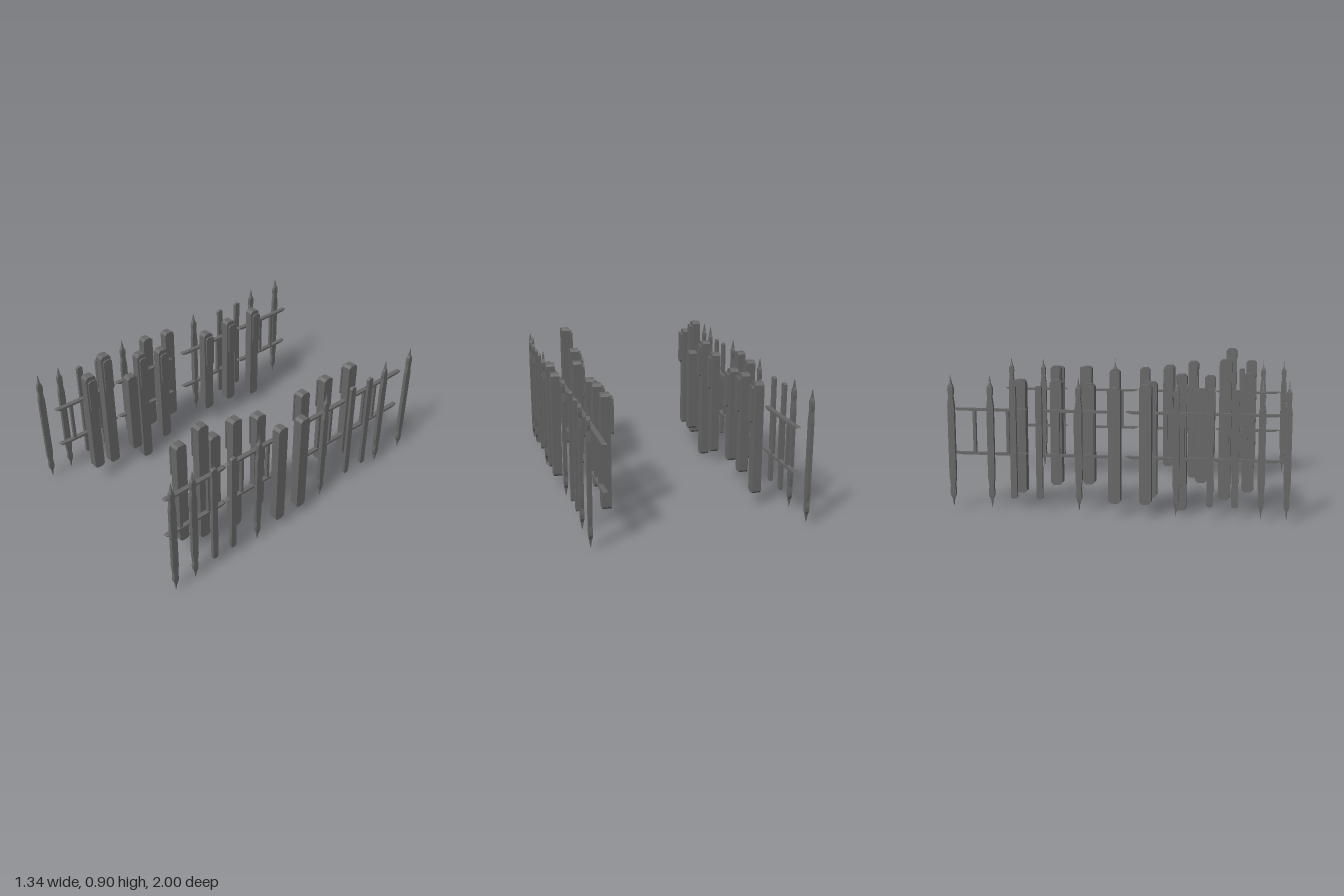
import * as THREE from 'three';

const iron = new THREE.MeshStandardMaterial({ color: 0x666666 });
iron.name = 'dark grey';

// Outline in (z, y) extruded across x, centred on x
function slab(points, width) {
  const shape = new THREE.Shape(points.map(([z, y]) => new THREE.Vector2(-z, y)));
  const geo = new THREE.ExtrudeGeometry(shape, { depth: width, bevelEnabled: false });
  geo.translate(0, 0, -width / 2);
  geo.rotateY(Math.PI / 2);
  return geo;
}

// Upright board with chamfered corners
function board(halfZ, y0, y1, width, c) {
  return slab([
    [-halfZ, y0 + c], [-halfZ + c, y0], [halfZ - c, y0], [halfZ, y0 + c],
    [halfZ, y1 - c], [halfZ - c, y1], [-halfZ + c, y1], [-halfZ, y1 - c],
  ], width);
}

// Picket with a needle point at both ends; rows are [y, half x, half z]
function spear() {
  const end = [
    [0.015, 0.001, 0.001], [0.065, 0.009, 0.005], [0.085, 0.011, 0.015],
    [0.11, 0.011, 0.017], [0.145, 0.011, 0.013], [0.2, 0.011, 0.02],
  ];
  const rows = [...end, ...end.map(([y, x, z]) => [0.82 - y, x, z]).reverse()];
  const pos = [], idx = [];
  for (const [y, x, z] of rows) pos.push(-x, y, z, x, y, z, x, y, -z, -x, y, -z);
  for (let r = 0; r < rows.length - 1; r++) {
    for (let i = 0; i < 4; i++) {
      const a = r * 4 + i, b = r * 4 + (i + 1) % 4;
      idx.push(a, b, b + 4, a, b + 4, a + 4);
    }
  }
  const geo = new THREE.BufferGeometry();
  geo.setAttribute('position', new THREE.Float32BufferAttribute(pos, 3));
  geo.setIndex(idx);
  const flat = geo.toNonIndexed();
  flat.computeVertexNormals();
  return flat;
}

// Rail along z with tapered, slightly lifted ends
function rail(z0, z1) {
  const t = 0.035;
  return slab([
    [z0, 0.005], [z0 + t, -0.008], [z1 - t, -0.008], [z1, 0.005],
    [z1 - t / 2, 0.009], [z1 - t, 0.007], [z0 + t, 0.007], [z0 + t / 2, 0.009],
  ], 0.028);
}

function createSide(s) {
  const side = new THREE.Group();
  const add = (name, geo, x, y, z) => {
    const m = new THREE.Mesh(geo, iron);
    m.name = name;
    m.position.set(s * x, y, z);
    side.add(m);
  };

  // Thick posts: x, z, bottom, top, has inner plate
  const posts = [
    [0.442, 0.755, 0.12, 0.82, 1], [0.468, 0.62, 0.08, 0.9, 1],
    [0.402, 0.48, 0.16, 0.72, 0], [0.457, 0.362, 0, 0.81, 1],
    [0.47, 0.188, 0.075, 0.765, 1], [0.46, -0.185, 0.14, 0.745, 1],
    [0.46, -0.383, 0.13, 0.765, 1], [0.46, -0.605, 0.075, 0.765, 1],
    [0.645, 0, 0.075, 0.745, 0], [0.645, 0.178, 0.075, 0.765, 0],
  ];
  for (const [x, z, y0, y1, plate] of posts) {
    add('post', board(0.035, y0, y1, 0.054, 0.015), x, 0, z);
    if (plate) {
      add('postPlate', board(0.03, y1 - 0.24, y1 - 0.02, 0.01, 0.012), x - 0.042, 0, z);
      add('plateNeck', new THREE.BoxGeometry(0.02, 0.17, 0.024), x - 0.03, y1 - 0.13, z);
    }
  }

  // Pointed pickets
  for (const z of [0.978, 0.835, 0.355]) add('pointedPicket', spear(), 0.66, 0, z);
  for (const z of [-0.215, -0.742, -0.98]) add('pointedPicket', spear(), 0.628, 0, z);

  // Flat pickets
  const flats = [[0.66, 0.688], [0.66, 0.548], [0.628, -0.45], [0.628, -0.605]];
  for (const [x, z] of flats) add('flatPicket', board(0.019, 0.075, 0.745, 0.02, 0.008), x, 0, z);

  // Rail panels with slim uprights
  for (const [z0, z1] of [[-1, -0.543], [-0.488, -0.034], [0.046, 0.502], [0.51, 0.953]]) {
    for (const y of [0.59, 0.325]) add('rail', rail(z0, z1), 0.546, y, 0);
    for (const d of [-0.095, 0.01, 0.11]) {
      add('railUpright', new THREE.BoxGeometry(0.02, 0.26, 0.018), 0.546, 0.457, (z0 + z1) / 2 + d);
    }
  }
  return side;
}

export function createModel() {
  const model = new THREE.Group();
  model.name = 'fence';
  for (const s of [1, -1]) {
    const side = createSide(s);
    side.name = s > 0 ? 'leftFence' : 'rightFence';
    model.add(side);
  }
  return model;
}
